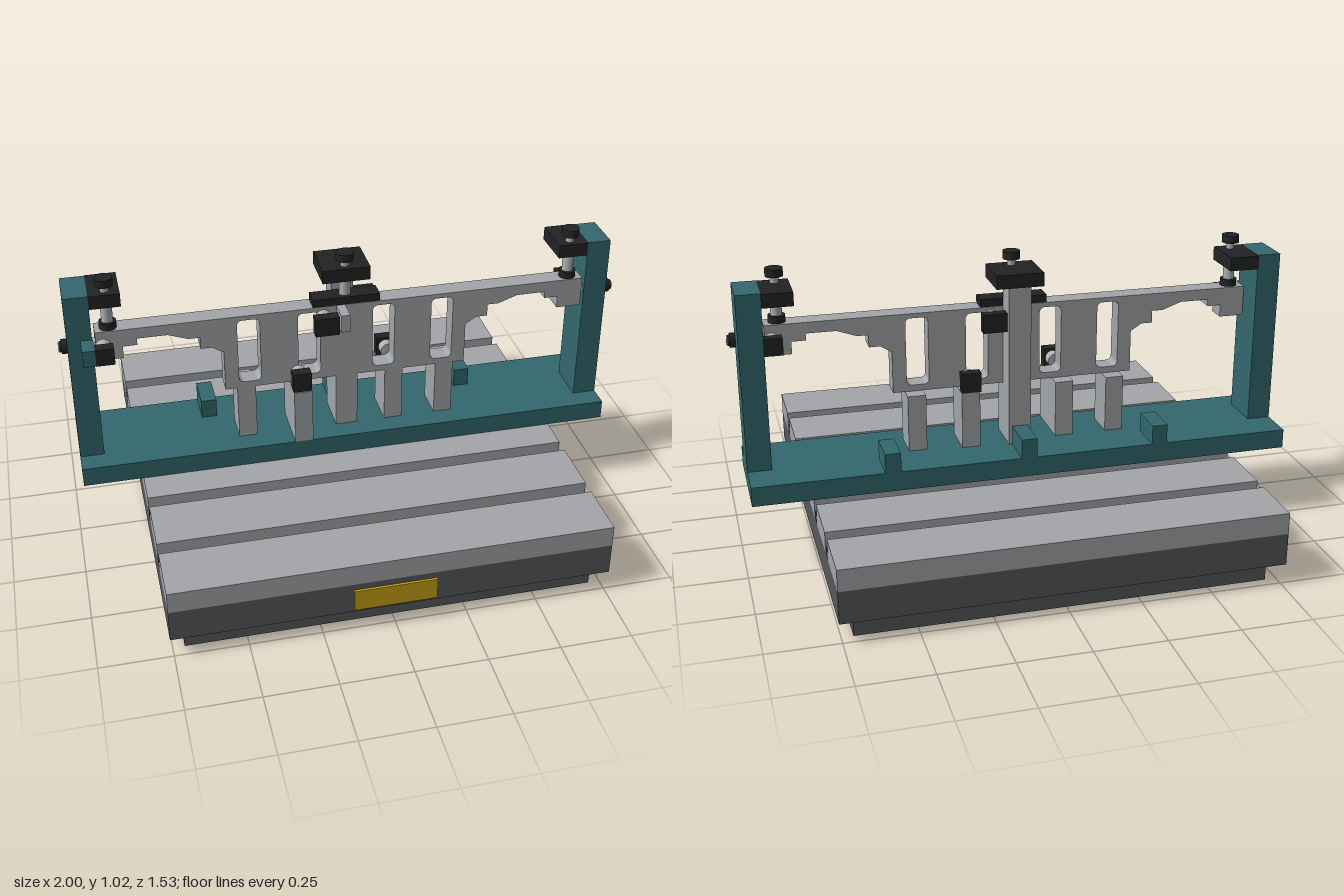
import * as THREE from 'three';

const mat = (name, color) => Object.assign(new THREE.MeshStandardMaterial({ color }), { name });

export function createModel() {
  const teal = mat('teal paint', 0x33686d);
  const grey = mat('light grey metal', 0xa3a6aa);
  const steel = mat('bright steel', 0xb0b3b6);
  const dark = mat('dark grey base', 0x55585b);
  const black = mat('black', 0x222324);
  const gold = mat('gold', 0xc8a312);
  const model = new THREE.Group();

  const add = (name, geometry, material, parent = model) => {
    const mesh = new THREE.Mesh(geometry, material);
    mesh.name = name;
    parent.add(mesh);
    return mesh;
  };
  // Box given by its limits on each axis
  const box = (name, m, x0, x1, y0, y1, z0, z1, parent) => {
    const b = add(name, new THREE.BoxGeometry(x1 - x0, y1 - y0, z1 - z0), m, parent);
    b.position.set((x0 + x1) / 2, (y0 + y1) / 2, (z0 + z1) / 2);
    return b;
  };
  // Cylinder between two points on one axis
  const rod = (name, m, r, axis, a, b, at, parent, sides = 24) => {
    const c = add(name, new THREE.CylinderGeometry(r, r, b - a, sides), m, parent);
    c.position.set(...at);
    c.position[axis] = (a + b) / 2;
    if (axis === 'x') c.rotation.z = -Math.PI / 2;
    if (axis === 'z') c.rotation.x = Math.PI / 2;
    return c;
  };

  // Machine table with slots
  box('tablePlinth', dark, -0.71, 0.71, 0, 0.078, -0.715, 0.71);
  box('tableBody', dark, -0.76, 0.76, 0.078, 0.193, -0.765, 0.758);
  box('namePlate', gold, -0.145, 0.14, 0.09, 0.17, 0.758, 0.767);
  for (let i = 0; i < 6; i++) {
    const z = 0.758 - i * 0.2626;
    box('tableSlab', grey, -0.76, 0.76, 0.193, 0.27, z - 0.21, z);
    if (i < 5) box('slotFloor', black, -0.76, 0.76, 0.193, 0.22, z - 0.2626, z - 0.21);
  }

  // Fixture frame
  box('fixtureBase', teal, -0.97, 0.97, 0.27, 0.34, -0.255, 0.11);
  for (const x of [-0.485, 0, 0.485])
    box('rearStop', teal, x - 0.028, x + 0.028, 0.34, 0.41, -0.255, -0.125);
  for (const s of [-1, 1])
    box('column', teal, s * 0.9275 - 0.0425, s * 0.9275 + 0.0425, 0.34, 0.975, -0.125, 0.03);
  box('clampArm', teal, -0.925, -0.882, 0.75, 0.81, 0.03, 0.107);
  box('centrePost', grey, -0.04, 0.04, 0.34, 0.925, -0.125, -0.04);

  // Workpiece: stepped beam with rounded windows
  const half = [[0.875, 0.835], [0.875, 0.725], [0.785, 0.725], [0.785, 0.77], [0.735, 0.77],
    [0.735, 0.795], [0.63, 0.795], [0.56, 0.77], [0.52, 0.77], [0.52, 0.725], [0.48, 0.725],
    [0.44, 0.7], [0.44, 0.547]];
  const outline = [...half, ...half.map(([x, y]) => [-x, y]).reverse()];
  const beam = new THREE.Shape(outline.map(([x, y]) => new THREE.Vector2(x, y)));
  for (const x of [-0.35, -0.135, 0.135, 0.35]) {
    const w = 0.04, r = 0.018, y0 = 0.57, y1 = 0.818;
    const hole = new THREE.Path();
    hole.absarc(x + w - r, y1 - r, r, 0, Math.PI / 2);
    hole.absarc(x - w + r, y1 - r, r, Math.PI / 2, Math.PI);
    hole.absarc(x - w + r, y0 + r, r, Math.PI, Math.PI * 1.5);
    hole.absarc(x + w - r, y0 + r, r, Math.PI * 1.5, Math.PI * 2);
    beam.holes.push(hole);
  }
  add('workpiece', new THREE.ExtrudeGeometry(beam, { depth: 0.07, bevelEnabled: false, curveSegments: 6 }), grey)
    .position.z = -0.04;

  // Support legs, two of them deeper to carry clamps
  [[-0.365, -0.09, 0.03], [-0.175, -0.09, 0.11], [0, -0.04, 0.03], [0.175, -0.11, 0.03], [0.365, -0.09, 0.03]]
    .forEach(([x, z0, z1]) => {
      const w = x === 0 ? 0.04 : 0.033;
      box('supportLeg', grey, x - w, x + w, 0.34, 0.547, z0, z1);
    });

  // Horizontal clamps: black pad with a steel pin reaching the workpiece
  const clamp = (x, y, w, h, side) => {
    const g = new THREE.Group();
    g.name = 'sideClamp';
    model.add(g);
    const z = side > 0 ? [0.068, 0.108] : [-0.112, -0.075];
    box('clampPad', black, x - w, x + w, y - h, y + h, ...z, g);
    const pin = side > 0 ? [0.03, 0.068] : [-0.075, -0.04];
    rod('clampPin', steel, 0.028, 'z', ...pin, [x, y, 0], g);
  };
  clamp(-0.85, 0.78, 0.032, 0.031, 1);
  clamp(-0.177, 0.584, 0.033, 0.036, 1);
  clamp(-0.085, 0.797, 0.043, 0.034, 1);
  clamp(0.852, 0.78, 0.032, 0.031, -1);
  clamp(0.172, 0.584, 0.035, 0.036, -1);
  clamp(0.085, 0.797, 0.043, 0.034, -1);
  box('frontTab', grey, -0.037, -0.005, 0.77, 0.835, 0.03, 0.107);
  box('rearTab', grey, 0.005, 0.037, 0.77, 0.835, -0.107, -0.04);

  // Vertical screw clamps
  for (const [x, x0, x1] of [[-0.827, -0.885, -0.778], [0, -0.085, 0.085], [0.827, 0.778, 0.885]]) {
    const g = new THREE.Group();
    g.name = 'screwClamp';
    model.add(g);
    const at = [x, 0, -0.003];
    box('clampHead', black, x0, x1, 0.925, 0.974, -0.13, 0.03, g);
    rod('screw', steel, 0.02, 'y', 0.86, 0.925, at, g);
    rod('screwNeck', steel, 0.015, 'y', 0.974, 0.997, at, g);
    rod('screwKnob', black, 0.031, 'y', 0.997, 1.025, at, g);
    if (x) rod('screwFoot', black, 0.03, 'y', 0.835, 0.86, at, g);
    else box('pressureBar', black, -0.12, 0.12, 0.835, 0.864, -0.036, 0.028, g);
  }

  // Side bolts through the columns
  for (const s of [-1, 1]) {
    const span = (a, b) => (s > 0 ? [a, b] : [-b, -a]);
    const at = [0, 0.78, 0];
    rod('boltHead', black, 0.026, 'x', ...span(0.97, 0.99), at, model, 6);
    rod('boltCollar', black, 0.019, 'x', ...span(0.99, 0.997), at);
    rod('boltTip', steel, 0.015, 'x', ...span(0.997, 1), at);
    rod('boltPin', steel, 0.02, 'x', ...span(0.87, 0.89), at);
  }
  return model;
}
